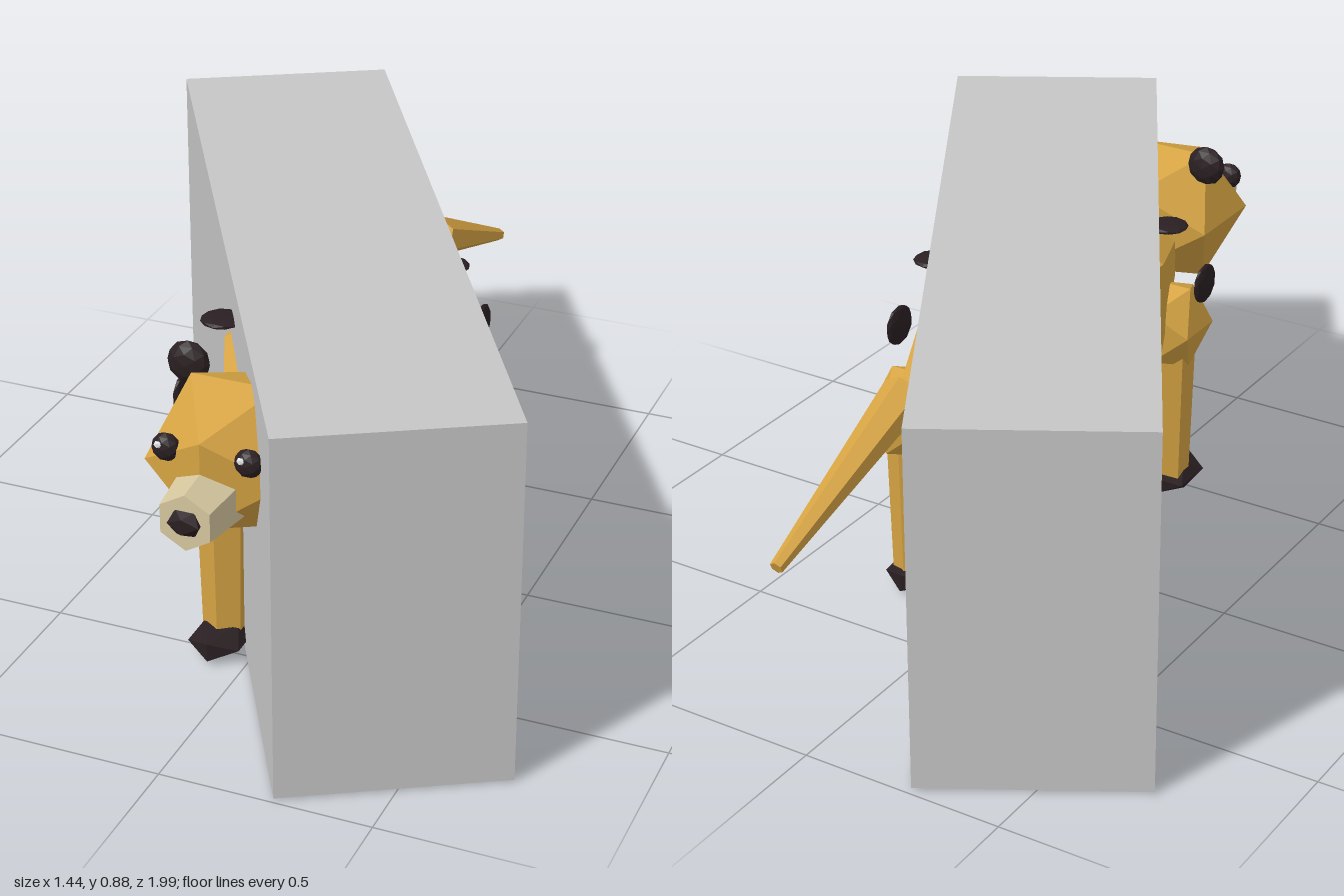
import * as THREE from 'three';

const material = (name, color) => {
  const m = new THREE.MeshStandardMaterial({ color, flatShading: true });
  m.name = name;
  return m;
};

export function createModel() {
  const model = new THREE.Group();
  model.name = 'spottedAnimalInBlock';
  const gold = material('golden fur', 0xd6a443);
  const dark = material('dark brown', 0x2a1f22);
  const cream = material('cream muzzle', 0xd6c8a0);
  const gray = material('gray block', 0xc6c6c6);
  const white = material('eye glint', 0xf4f4f4);

  const add = (parent, name, geometry, mat, x, y, z) => {
    const mesh = new THREE.Mesh(geometry, mat);
    mesh.name = name;
    mesh.position.set(x, y, z);
    parent.add(mesh);
    return mesh;
  };
  // Faceted blob given by its half extents
  const blob = (rx, ry, rz, detail = 0) => {
    const k = detail ? 1 : 1 / 0.851;
    return new THREE.IcosahedronGeometry(1, detail).scale(rx * k, ry * k, rz * k);
  };

  // Solid block the animal stands in, turned 30 degrees
  const block = add(model, 'block', new THREE.BoxGeometry(0.524, 0.876, 1.98), gray, 0, 0.442, 0.003);
  block.rotation.y = Math.PI / 6;

  // The animal, with its middle plane at x = 0.06
  const animal = new THREE.Group();
  animal.name = 'animal';
  animal.position.x = 0.06;
  model.add(animal);

  // Six-sided body tapering to both ends
  const profile = [[0, -0.53], [0.03, -0.52], [0.25, -0.06], [0.24, 0.3], [0.1, 0.58], [0, 0.58]];
  const body = new THREE.LatheGeometry(profile.map(p => new THREE.Vector2(...p)), 6).rotateX(Math.PI / 2);
  add(animal, 'body', body, gold, 0, 0.59, 0);

  // Head, muzzle and nose
  add(animal, 'head', blob(0.162, 0.165, 0.178), gold, 0, 0.665, 0.702);
  add(animal, 'muzzle', new THREE.CylinderGeometry(0.066, 0.086, 0.16, 6).rotateX(Math.PI / 2), cream, 0, 0.62, 0.877);
  add(animal, 'nose', blob(0.036, 0.029, 0.022), dark, 0, 0.62, 0.955);

  // Straight tail
  const tail = add(animal, 'tail', new THREE.CylinderGeometry(0.016, 0.053, 0.535, 6), gold, 0, 0.557, -0.747);
  tail.quaternion.setFromUnitVectors(new THREE.Vector3(0, 1, 0), new THREE.Vector3(0, -0.2, -0.49).normalize());

  for (const s of [-1, 1]) {
    add(animal, 'ear', blob(0.05, 0.05, 0.027, 1), dark, s * 0.13, 0.826, 0.65);
    add(animal, 'eye', blob(0.033, 0.033, 0.022, 1), dark, s * 0.095, 0.723, 0.842);
    add(animal, 'eyeGlint', blob(0.008, 0.008, 0.005), white, s * 0.095 - 0.01, 0.735, 0.861);

    for (const front of [true, false]) {
      const z = front ? 0.465 : -0.27;
      // Leg with shoulder or hip and paw
      add(animal, 'thigh', blob(0.08, 0.106, 0.105), gold, s * 0.145, 0.47, z);
      add(animal, 'leg', new THREE.CylinderGeometry(0.064, 0.055, 0.38, 6), gold, s * 0.14, 0.24, z);
      add(animal, 'paw', blob(0.064, 0.037, 0.092), dark, s * 0.14, 0.037, z + 0.02);
      // Flat spots on the flank and back
      add(animal, 'flankSpot', blob(0.012, 0.051, 0.051, 1), dark, s * 0.252, 0.62, front ? 0.43 : -0.155);
      add(animal, 'backSpot', blob(0.05, 0.011, 0.05, 1), dark, s * 0.185, 0.785, front ? 0.36 : -0.1);
    }
  }
  return model;
}
